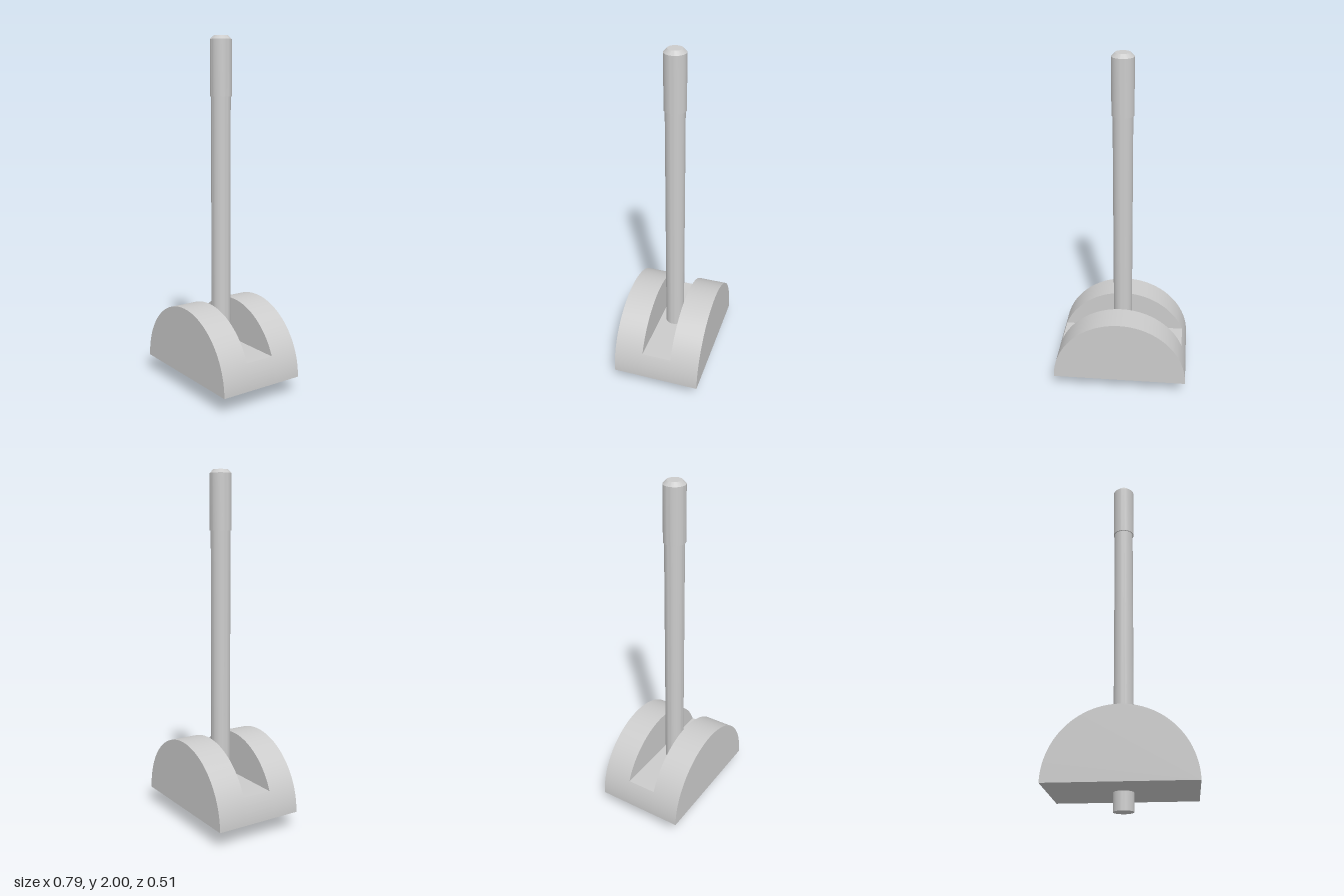
import * as THREE from 'three';
import { toCreasedNormals } from 'three/addons/utils/BufferGeometryUtils.js';

const R = 0.395;        // radius of the half-round base
const BASE_Y = 0.1;     // underside of the base
const FLOOR = 0.15;     // slot floor above the underside
const SLOT = 0.087;     // half width of the slot
const DEPTH = 0.257;    // half depth of the base

export function createModel() {
  const model = new THREE.Group();
  const material = new THREE.MeshStandardMaterial({ color: 0xcccccc });

  const add = (name, geometry) => {
    const mesh = new THREE.Mesh(toCreasedNormals(geometry, 0.4), material);
    mesh.name = name;
    model.add(mesh);
  };
  const extrude = (shape, z0, z1) =>
    new THREE.ExtrudeGeometry(shape, { depth: z1 - z0, bevelEnabled: false, curveSegments: 48 })
      .translate(0, BASE_Y, z0);
  const lathe = (points) =>
    new THREE.LatheGeometry(points.map(([r, y]) => new THREE.Vector2(r, y)), 48);

  // Half-round cheeks either side of the slot
  const halfDisc = new THREE.Shape();
  halfDisc.absarc(0, 0, R, 0, Math.PI, false);
  add('frontCheek', extrude(halfDisc, SLOT, DEPTH));
  add('backCheek', extrude(halfDisc, -DEPTH, -SLOT));

  // Lower web joining the cheeks, its flat top is the slot floor
  const a = Math.asin(FLOOR / R);
  const web = new THREE.Shape();
  web.absarc(0, 0, R, 0, a, false);
  web.absarc(0, 0, R, Math.PI - a, Math.PI, false);
  add('slotWeb', extrude(web, -SLOT, SLOT));

  // Rod through the base, with a wider chamfered tip
  add('rod', lathe([[0, 0], [0.055, 0], [0.055, 1.67]]));
  add('rodTip', lathe([[0.055, 1.67], [0.061, 1.67], [0.061, 1.98], [0.041, 2], [0, 2]]));

  return model;
}
